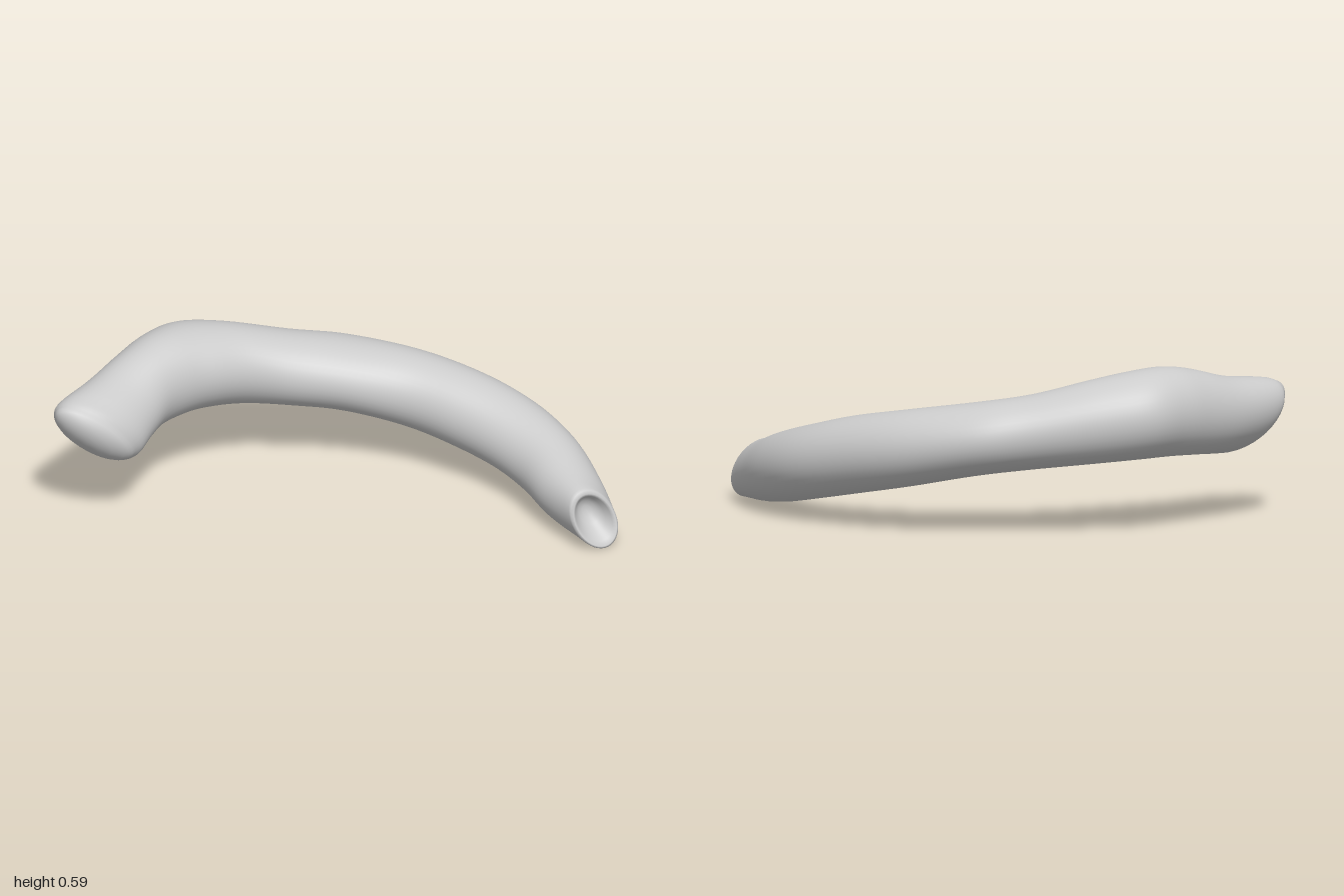
import * as THREE from 'three';
import { mergeVertices } from 'three/addons/utils/BufferGeometryUtils.js';

// Stations along the bend:
// outer x, outer z, inner x, inner z, top y, bottom y, outer-edge lift, lean of the top along the path
const STATIONS = [
  [-0.98, 0.485, -0.71, 0.42, 0.475, 0.265, 0.06, -0.05],
  [-0.995, 0.43, -0.685, 0.37, 0.505, 0.24, 0.04, -0.035],
  [-0.955, 0.27, -0.665, 0.28, 0.53, 0.245, 0.015, -0.01],
  [-0.905, 0.11, -0.635, 0.18, 0.57, 0.258, 0, 0],
  [-0.86, -0.03, -0.585, 0.1, 0.59, 0.265, 0, 0],
  [-0.79, -0.18, -0.52, 0.03, 0.585, 0.265, 0, 0],
  [-0.64, -0.29, -0.41, -0.07, 0.555, 0.255, 0, 0],
  [-0.4, -0.41, -0.27, -0.135, 0.505, 0.235, 0, 0],
  [-0.2, -0.5, -0.1, -0.19, 0.475, 0.21, 0, 0],
  [0.08, -0.53, 0.1, -0.235, 0.44, 0.16, 0, 0],
  [0.35, -0.495, 0.28, -0.22, 0.4, 0.115, 0, 0],
  [0.57, -0.425, 0.44, -0.18, 0.35, 0.075, 0, 0],
  [0.75, -0.3, 0.57, -0.115, 0.3, 0.04, 0, 0],
  [0.89, -0.14, 0.69, -0.01, 0.25, 0.015, -0.01, -0.01],
  [0.98, -0.015, 0.835, 0.1, 0.215, 0.01, -0.03, -0.03],
];
// End caps as [scale, push outward]: a dome on one end, a dished socket on the other
const DOME = [[0, 0.06], [0.3, 0.057], [0.6, 0.048], [0.85, 0.03], [0.95, 0.014]];
const SOCKET = [[0.97, 0.012], [0.88, 0.018], [0.76, 0.008], [0.6, -0.018], [0.4, -0.038], [0.2, -0.047], [0, -0.05]];
const STEPS = 84;
const SIDES = 40;

const curve = (pick) => new THREE.CatmullRomCurve3(
  STATIONS.map((s) => new THREE.Vector3(...pick(s))), false, 'catmullrom', 0.5);

function bentTube() {
  const outer = curve((s) => [s[0], s[6], s[1]]);
  const inner = curve((s) => [s[2], -s[6], s[3]]);
  const extent = curve((s) => [s[4], s[5], s[7]]);
  const spine = curve((s) => [(s[0] + s[2]) / 2, (s[4] + s[5]) / 2, (s[1] + s[3]) / 2]);
  const positions = [];
  const index = [];

  const addRing = (t, scale, push) => {
    const centre = spine.getPoint(t);
    const along = spine.getTangent(t);
    const across = outer.getPoint(t).sub(inner.getPoint(t)).multiplyScalar(0.5);
    const e = extent.getPoint(t);
    const up = new THREE.Vector3(0, (e.x - e.y) / 2, 0).addScaledVector(along, e.z);
    centre.addScaledVector(along, push);
    for (let j = 0; j < SIDES; j++) {
      const a = (j / SIDES) * Math.PI * 2;
      const p = centre.clone()
        .addScaledVector(across, Math.cos(a) * scale)
        .addScaledVector(up, Math.sin(a) * scale);
      positions.push(p.x, p.y, p.z);
    }
  };

  DOME.forEach(([scale, push]) => addRing(0, scale, -push));
  for (let i = 0; i <= STEPS; i++) addRing(i / STEPS, 1, 0);
  SOCKET.forEach(([scale, push]) => addRing(1, scale, push));

  const rings = positions.length / 3 / SIDES;
  for (let i = 0; i < rings - 1; i++) {
    for (let j = 0; j < SIDES; j++) {
      const a = i * SIDES + j;
      const b = i * SIDES + ((j + 1) % SIDES);
      index.push(a, b, a + SIDES, b, b + SIDES, a + SIDES);
    }
  }
  const geometry = new THREE.BufferGeometry();
  geometry.setAttribute('position', new THREE.Float32BufferAttribute(positions, 3));
  geometry.setIndex(index);
  const welded = mergeVertices(geometry, 1e-5);
  welded.computeVertexNormals();
  return welded;
}

export function createModel() {
  const group = new THREE.Group();
  group.name = 'curvedTube';
  const body = new THREE.Mesh(bentTube(), new THREE.MeshStandardMaterial({ color: 0xcccccc }));
  body.name = 'bentBody';
  group.add(body);
  return group;
}
